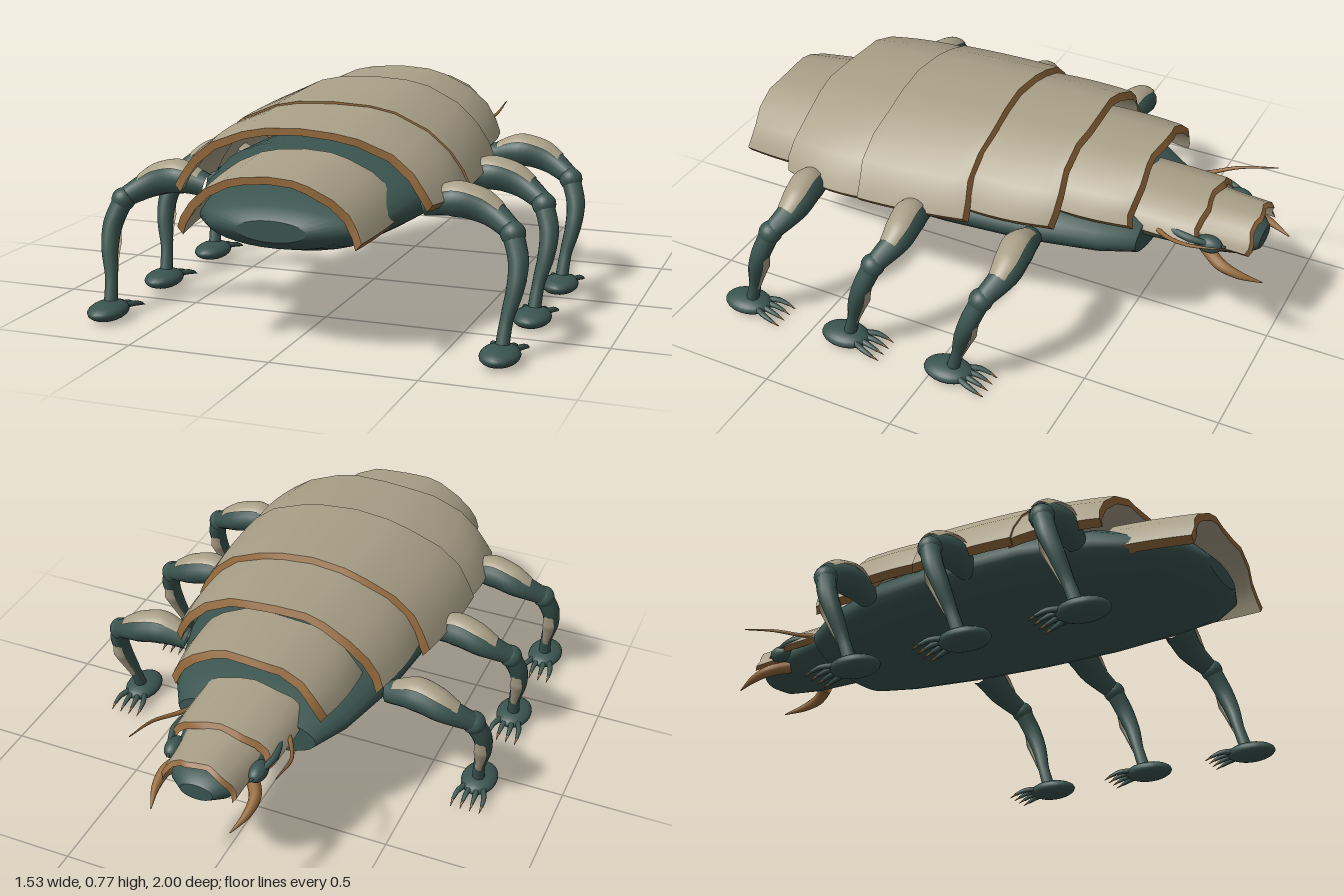
import * as THREE from 'three';

const mat = (name, color) => Object.assign(new THREE.MeshStandardMaterial({ color }), { name });

export function createModel() {
  const hide = mat('dark teal hide', 0x3a544f);
  const shell = mat('beige shell', 0xaaa088);
  const horn = mat('brown horn', 0x92683a);
  shell.side = horn.side = THREE.DoubleSide;

  const model = new THREE.Group();
  model.name = 'armouredBug';
  const V = (x, y, z) => new THREE.Vector3(x, y, z);

  const add = (parent, geometry, material, name) => {
    const m = new THREE.Mesh(geometry, material);
    m.name = name;
    parent.add(m);
    return m;
  };

  // Grid surface from a point rule f(i, j); the front side is dj x di
  const patch = (f, ni, nj, closed = false) => {
    const pos = [], idx = [], cols = closed ? nj : nj + 1;
    for (let i = 0; i <= ni; i++) for (let j = 0; j < cols; j++) pos.push(...f(i, j).toArray());
    for (let i = 0; i < ni; i++) for (let j = 0; j < nj; j++) {
      const a = i * cols + j, b = i * cols + (j + 1) % cols;
      idx.push(a, b, a + cols, b, b + cols, a + cols);
    }
    const g = new THREE.BufferGeometry();
    g.setAttribute('position', new THREE.Float32BufferAttribute(pos, 3));
    g.setIndex(idx);
    g.computeVertexNormals();
    return g;
  };

  // Elliptical loft from sections [z, halfWidth, yBottom, yTop], closed at both ends
  const loft = (sections) => {
    const n = 32, first = sections[0], last = sections[sections.length - 1];
    const point = ([z, , b, t]) => [z, 0, (b + t) / 2, (b + t) / 2];
    const s = [point(first), first, ...sections, last, point(last)];
    return patch((i, j) => {
      const [z, w, b, t] = s[i], a = (j / n) * Math.PI * 2;
      return V(w * Math.cos(a), (b + t) / 2 + (t - b) / 2 * Math.sin(a), z);
    }, s.length - 1, n, true);
  };

  // Tapered tube along a curve, or a strip of one between angles a0 and a1
  const limb = (points, radii, ref, a0 = 0, a1 = Math.PI * 2, ni = 16, nj = 12) => {
    const curve = new THREE.CatmullRomCurve3(points);
    return patch((i, j) => {
      const t = i / ni, T = curve.getTangent(t);
      const S = ref.clone().addScaledVector(T, -ref.dot(T)).normalize();
      const N = S.clone().cross(T);
      const k = t * (radii.length - 1), q = Math.min(Math.floor(k), radii.length - 2);
      const r = THREE.MathUtils.lerp(radii[q], radii[q + 1], k - q);
      const a = a0 + (a1 - a0) * j / nj;
      return curve.getPoint(t).addScaledVector(N, r * Math.cos(a)).addScaledVector(S, r * Math.sin(a));
    }, ni, nj, a1 - a0 > 6.28);
  };

  // Body, flat underneath the plates, and the head
  add(model, loft([
    [-0.57, 0.26, 0.36, 0.52], [-0.45, 0.33, 0.355, 0.56], [-0.2, 0.4, 0.35, 0.6],
    [0.1, 0.43, 0.345, 0.61], [0.4, 0.43, 0.34, 0.61], [0.65, 0.38, 0.335, 0.59],
    [0.84, 0.31, 0.335, 0.53], [0.93, 0.24, 0.36, 0.5], [0.97, 0.12, 0.39, 0.46],
  ]), hide, 'body');
  add(model, loft([
    [-0.95, 0.06, 0.41, 0.47], [-0.91, 0.11, 0.39, 0.5], [-0.8, 0.15, 0.385, 0.52],
    [-0.68, 0.175, 0.39, 0.54], [-0.5, 0.2, 0.4, 0.54],
  ]), hide, 'head');

  // Arched back plates: z range, half widths (head end, middle, tail end), base and top heights
  const arch = [[-1, 0], [-0.95, 0.2], [-0.86, 0.45], [-0.7, 0.7], [-0.45, 0.9], [-0.27, 0.97], [0, 1]];
  const profile = [...arch, ...arch.slice(0, -1).reverse().map(([x, y]) => [-x, y])];
  const plates = [
    ['tailPlate', 0.68, 0.99, [0.34, 0.335, 0.315], [0.44, 0.42], [0.635, 0.605]],
    ['rearPlate', 0.39, 0.72, [0.48, 0.49, 0.455], [0.49, 0.49], [0.745, 0.71]],
    ['middlePlate', 0, 0.41, [0.46, 0.485, 0.49], [0.51, 0.49], [0.778, 0.75]],
    ['shoulderPlate', -0.31, 0.03, [0.4, 0.425, 0.42], [0.54, 0.53], [0.772, 0.755]],
    ['neckPlate', -0.55, -0.28, [0.29, 0.31, 0.31], [0.55, 0.55], [0.72, 0.715]],
    ['browPlate', -0.755, -0.5, [0.195, 0.2, 0.2], [0.475, 0.48], [0.575, 0.58]],
    ['facePlate', -0.93, -0.72, [0.14, 0.145, 0.16], [0.45, 0.46], [0.55, 0.56]],
  ];
  plates.forEach(([name, z0, z1, [w0, wm, w1], base, top], p) => {
    const group = new THREE.Group();
    group.name = name;
    model.add(group);
    const ni = 8, nj = profile.length - 1;
    const outer = (i, j) => {
      const t = i / ni, [px, py] = profile[j];
      const w = w0 * (1 - t) * (1 - 2 * t) + 4 * wm * t * (1 - t) + w1 * t * (2 * t - 1);
      const y0 = THREE.MathUtils.lerp(...base, t), y1 = THREE.MathUtils.lerp(...top, t);
      const wave = 0.007 * Math.sin(j * 1.7 + p * 2) * Math.abs(2 * t - 1);
      return V(w * px, y0 + (y1 - y0) * py, z0 + (z1 - z0) * t + wave);
    };
    const inner = (i, j) => {
      const v = outer(i, j), scale = Math.min(1, w0 * 4);
      v.x -= 0.02 * scale * profile[j][0];
      v.y -= 0.024 * scale;
      if (i === 0) v.z -= 0.012;
      return v;
    };
    const edge = (rule) => (i, j) => (i ? inner : outer)(...rule(j));
    // profile runs from -x to +x, so the outer skin is listed in reverse
    add(group, patch((i, j) => outer(i, nj - j), ni, nj), shell, 'outerSkin');
    add(group, patch(inner, ni, nj), shell, 'innerSkin');
    add(group, patch(edge((j) => [0, j]), 1, nj), horn, 'headRim');
    add(group, patch(edge((j) => [ni, nj - j]), 1, nj), horn, 'tailRim');
    add(group, patch(edge((j) => [ni - j, 0]), 1, ni), horn, 'rightRim');
    add(group, patch(edge((j) => [j, nj]), 1, ni), horn, 'leftRim');
  });

  const X = V(1, 0, 0), Z = V(0, 0, 1);
  const ball = (parent, r, x, y, z, material, name, sx = 1, sy = 1, sz = 1) => {
    const m = add(parent, new THREE.SphereGeometry(r, 20, 14), material, name);
    m.position.set(x, y, z);
    m.scale.set(sx, sy, sz);
  };

  // One leg: thigh and shin with shell guards, joints, foot and claws
  const buildLeg = (parent) => {
    const thigh = [V(0.39, 0.465, -0.235), V(0.5, 0.485, -0.24), V(0.6, 0.46, -0.245), V(0.7, 0.405, -0.205)];
    add(parent, limb(thigh, [0.04, 0.058, 0.05, 0.034], Z), hide, 'thigh');
    add(parent, limb([V(0.42, 0.473, -0.235), V(0.5, 0.487, -0.237), V(0.58, 0.47, -0.243), V(0.64, 0.445, -0.235)],
      [0.045, 0.064, 0.061, 0.044], Z, -0.75, 0.9), shell, 'thighGuard');
    ball(parent, 0.042, 0.7, 0.4, -0.2, hide, 'knee');
    const shin = [V(0.7, 0.4, -0.2), V(0.727, 0.32, -0.17), V(0.727, 0.24, -0.14), V(0.708, 0.14, -0.11), V(0.7, 0.04, -0.08)];
    add(parent, limb(shin, [0.036, 0.035, 0.03, 0.022, 0.024], Z), hide, 'shin');
    add(parent, limb([V(0.722, 0.35, -0.188), V(0.728, 0.26, -0.155), V(0.71, 0.13, -0.112)],
      [0.02, 0.038, 0.018], Z, -2.3, -0.85), shell, 'shinGuard');
    ball(parent, 0.066, 0.7, 0.036, -0.065, hide, 'foot', 1, 0.5, 1.4);
    [-1, -0.33, 0.33, 1].forEach((k) => {
      add(parent, limb([V(0.7 + k * 0.03, 0.04, -0.12), V(0.7 + k * 0.05, 0.037, -0.165), V(0.7 + k * 0.055, 0.025, -0.205)],
        [0.012, 0.01, 0.006], X, 0, Math.PI * 2, 6, 8), hide, 'claw');
      add(parent, limb([V(0.7 + k * 0.055, 0.025, -0.205), V(0.7 + k * 0.054, 0.014, -0.23)],
        [0.006, 0.001], X, 0, Math.PI * 2, 4, 8), horn, 'clawTip');
    });
  };

  // Paired parts, mirrored across x
  [1, -1].forEach((s) => {
    const side = new THREE.Group();
    side.name = s > 0 ? 'leftSide' : 'rightSide';
    side.scale.x = s;
    model.add(side);
    ['frontLeg', 'middleLeg', 'hindLeg'].forEach((name, i) => {
      const leg = new THREE.Group();
      leg.name = name;
      leg.position.z = i * 0.42;
      side.add(leg);
      buildLeg(leg);
    });
    add(side, limb([V(0.12, 0.42, -0.78), V(0.165, 0.4, -0.85), V(0.168, 0.38, -0.92), V(0.145, 0.358, -1)],
      [0.024, 0.022, 0.015, 0.002], X), horn, 'mandible');
    add(side, limb([V(0.17, 0.49, -0.6), V(0.21, 0.49, -0.66), V(0.255, 0.515, -0.76), V(0.265, 0.55, -0.9)],
      [0.01, 0.008, 0.006, 0.002], X), horn, 'antenna');
    add(side, limb([V(0.16, 0.5, -0.62), V(0.185, 0.49, -0.74), V(0.15, 0.465, -0.86)],
      [0.012, 0.014, 0.004], X), hide, 'feeler');
    ball(side, 0.035, 0.155, 0.465, -0.8, hide, 'cheek', 0.9, 0.9, 1.4);
  });

  return model;
}
